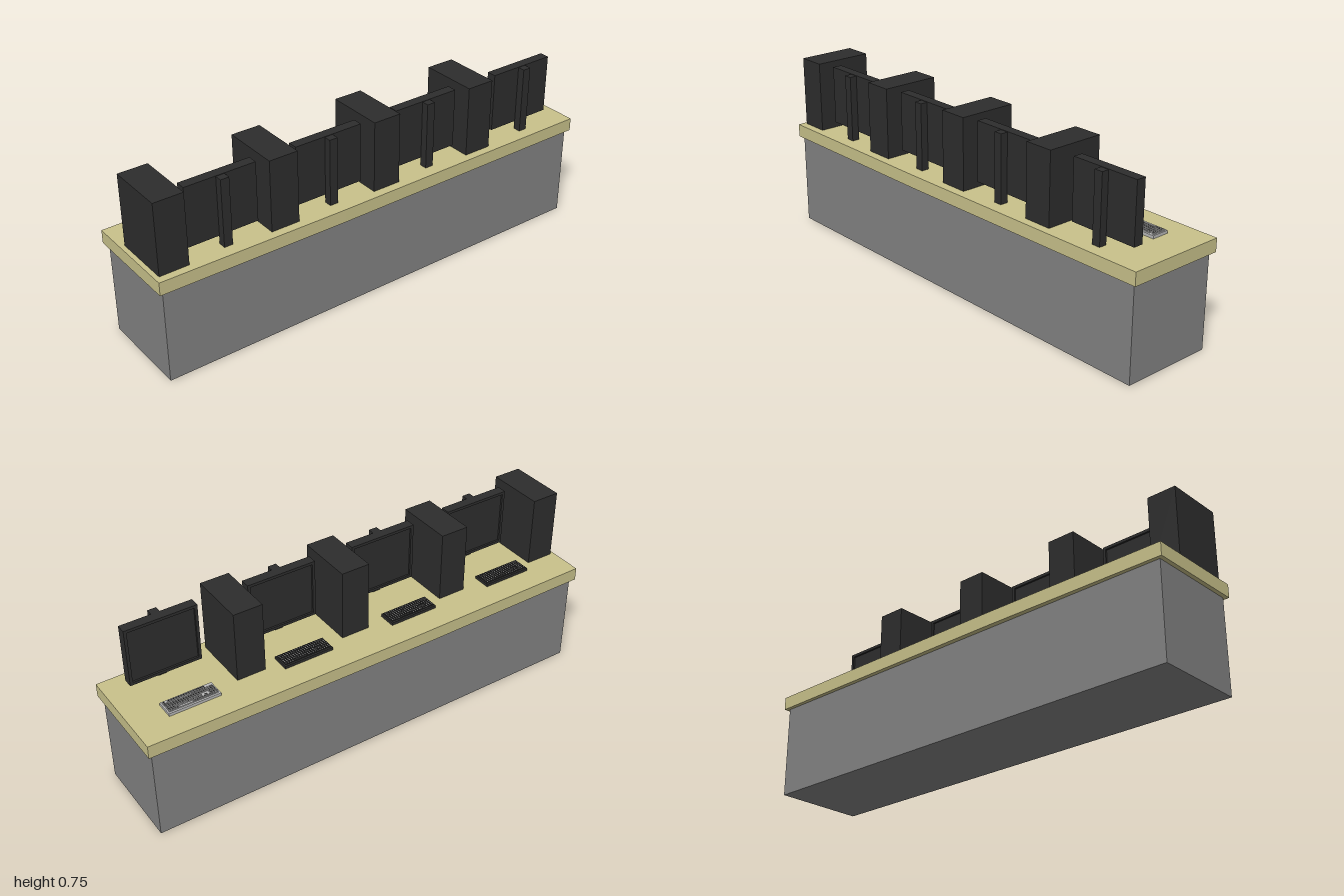
import * as THREE from 'three';
import { mergeGeometries } from 'three/addons/utils/BufferGeometryUtils.js';

const material = (name, color, extra = {}) => {
  const m = new THREE.MeshStandardMaterial({ color, ...extra });
  m.name = name;
  return m;
};

// Box given by its minimum and maximum along each axis
function span(x0, x1, y0, y1, z0, z1) {
  return new THREE.BoxGeometry(x1 - x0, y1 - y0, z1 - z0)
    .translate((x0 + x1) / 2, (y0 + y1) / 2, (z0 + z1) / 2);
}

export function createModel() {
  const model = new THREE.Group();
  model.name = 'workstationDesk';

  const wood = material('paleWood', 0xc9c28b);
  const grey = material('cabinetGrey', 0x838383);
  const black = material('casingBlack', 0x2d2d2d);
  const silver = material('keyboardSilver', 0xb8b8b8);

  const add = (parent, name, geometry, mat) => {
    const mesh = new THREE.Mesh(geometry, mat);
    mesh.name = name;
    parent.add(mesh);
    return mesh;
  };

  const TOP = 0.447;

  // Cabinet below the counter
  add(model, 'cabinet', span(-0.196, 0.195, 0, 0.392, -0.983, 0.983), grey);

  // Counter with very slightly bowed long edges
  const outline = new THREE.Shape([
    [-0.212, -1], [0.209, -1], [0.216, 0.2], [0.209, 1], [-0.212, 1], [-0.218, 0.2],
  ].map(([x, z]) => new THREE.Vector2(x, z)));
  const slab = new THREE.ExtrudeGeometry(outline, { depth: 0.055, bevelEnabled: false });
  slab.rotateX(Math.PI / 2);
  add(model, 'counter', slab, wood).position.y = TOP;

  // Computer towers
  for (const z of [0.921, 0.45, -0.023, -0.493]) {
    add(model, 'tower', span(-0.068, 0.179, TOP + 0.002, 0.747, z - 0.061, z + 0.061), black);
  }

  // Monitors: casing, raised bezel facing -x, and a stand column behind
  const bezelShape = new THREE.Shape([
    new THREE.Vector2(-0.149, 0.482), new THREE.Vector2(0.149, 0.482),
    new THREE.Vector2(0.149, 0.73), new THREE.Vector2(-0.149, 0.73),
  ]);
  bezelShape.holes.push(new THREE.Path([
    new THREE.Vector2(-0.137, 0.494), new THREE.Vector2(-0.137, 0.718),
    new THREE.Vector2(0.137, 0.718), new THREE.Vector2(0.137, 0.494),
  ]));
  const bezel = new THREE.ExtrudeGeometry(bezelShape, { depth: 0.008, bevelEnabled: false });
  bezel.rotateY(-Math.PI / 2).translate(0.094, 0, 0);
  for (const z of [0.684, 0.213, -0.256, -0.766]) {
    const monitor = new THREE.Group();
    monitor.name = 'monitor';
    monitor.position.z = z;
    add(monitor, 'monitorCasing', span(0.094, 0.127, 0.482, 0.73, -0.149, 0.149), black);
    add(monitor, 'monitorBezel', bezel, black);
    add(monitor, 'monitorStand', span(0.125, 0.158, TOP, 0.728, -0.018, 0.018), black);
    model.add(monitor);
  }

  // Key layout: [row, first column, width] on a 20 by 6 grid, row 0 nearest the user
  const keys = [];
  for (let row = 0; row < 6; row++) {
    for (let col = 0; col < 20; col++) {
      if (row === 0 && col > 3 && col < 10) continue; // space bar
      if (row === 5 && (col === 1 || col > 16)) continue; // gaps in function row
      if (row === 2 && col > 13 && col < 17) continue; // gap above arrows
      if (row === 1 && (col === 14 || col === 16)) continue;
      keys.push([row, col, 1]);
    }
  }
  keys.push([0, 4, 6]);

  const P = 0.0102;
  const caps = [], marks = [];
  for (const [row, col, width] of keys) {
    const x = -0.0715 + (row - 2.5) * P;
    const z0 = (col - 10) * P + 0.001;
    const z1 = z0 + width * P - 0.002;
    caps.push(span(x - 0.004, x + 0.004, 0.458, 0.465, z0, z1));
    if (width === 1) {
      const zc = (z0 + z1) / 2;
      marks.push(span(x - 0.0022, x + 0.0022, 0.4648, 0.4656, zc - 0.0018, zc + 0.0018));
    }
  }
  const capGeometry = mergeGeometries(caps);
  const markGeometry = mergeGeometries(marks);

  // Three black keyboards and one silver one, with contrasting key marks
  for (const z of [0.71, 0.231, -0.263, -0.753]) {
    const isSilver = z < -0.5;
    const keyboard = new THREE.Group();
    keyboard.name = 'keyboard';
    keyboard.position.z = z;
    const body = isSilver ? silver : black;
    add(keyboard, 'keyboardBody', span(-0.109, -0.034, TOP + 0.001, 0.46, -0.107, 0.107), body);
    add(keyboard, 'keyCaps', capGeometry, body);
    add(keyboard, 'keyMarks', markGeometry, isSilver ? black : silver);
    model.add(keyboard);
  }

  return model;
}
